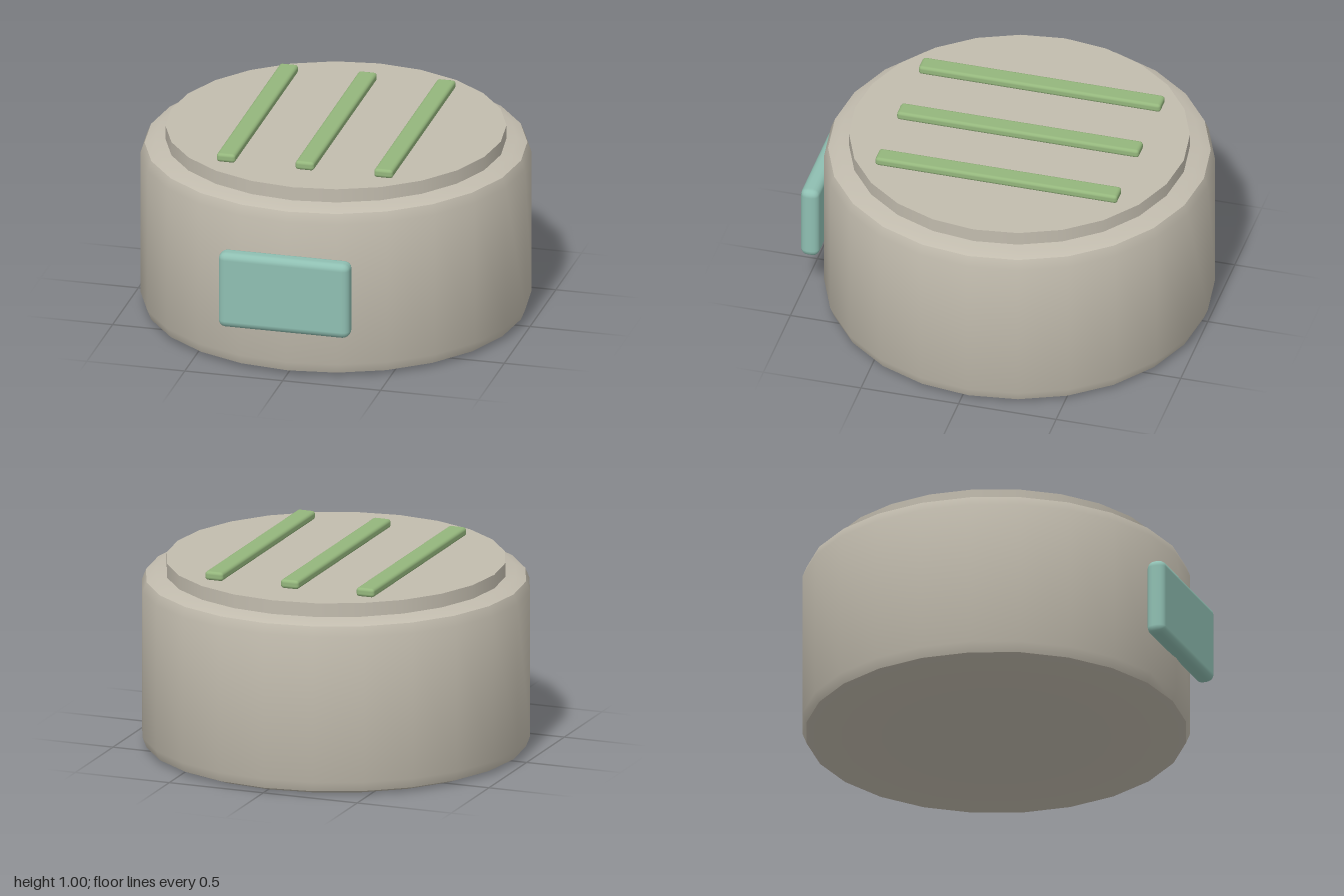
import * as THREE from 'three';
import { toCreasedNormals } from 'three/addons/utils/BufferGeometryUtils.js';
import { RoundedBoxGeometry } from 'three/addons/geometries/RoundedBoxGeometry.js';

const SIDES = 24;
const CENTRE_Z = -0.035;

function material(name, color) {
  const m = new THREE.MeshStandardMaterial({ color });
  m.name = name;
  return m;
}

export function createModel() {
  const model = new THREE.Group();
  model.name = 'roundCanister';

  const stone = material('warm grey', 0xc2bcae);
  const teal = material('soft teal', 0x8fbfb2);
  const green = material('leaf green', 0x94b67c);

  const add = (name, geometry, mat, x, y, z) => {
    const mesh = new THREE.Mesh(geometry, mat);
    mesh.name = name;
    mesh.position.set(x, y, z);
    model.add(mesh);
  };

  // Drum with softly bevelled rims
  const profile = [
    [0, 0], [0.895, 0], [0.945, 0.02], [0.965, 0.07],
    [0.965, 0.815], [0.945, 0.865], [0.895, 0.885], [0, 0.885],
  ].map(([r, y]) => new THREE.Vector2(r, y));
  const drum = toCreasedNormals(new THREE.LatheGeometry(profile, SIDES), 0.6);
  add('body', drum, stone, 0, 0, CENTRE_Z);

  // Raised lid, sunk slightly into the drum
  add('lid', new THREE.CylinderGeometry(0.842, 0.842, 0.085, SIDES), stone, 0, 0.9125, CENTRE_Z);

  // Three slats running front to back
  for (const [name, x] of [['rightSlat', -0.402], ['middleSlat', 0], ['leftSlat', 0.402]]) {
    add(name, new RoundedBoxGeometry(0.096, 0.045, 1.24, 2, 0.016), green, x, 0.9775, -0.038);
  }

  // Front label plate
  add('frontPlate', new RoundedBoxGeometry(0.67, 0.395, 0.095, 2, 0.036), teal, 0, 0.445, 0.9525);

  return model;
}
